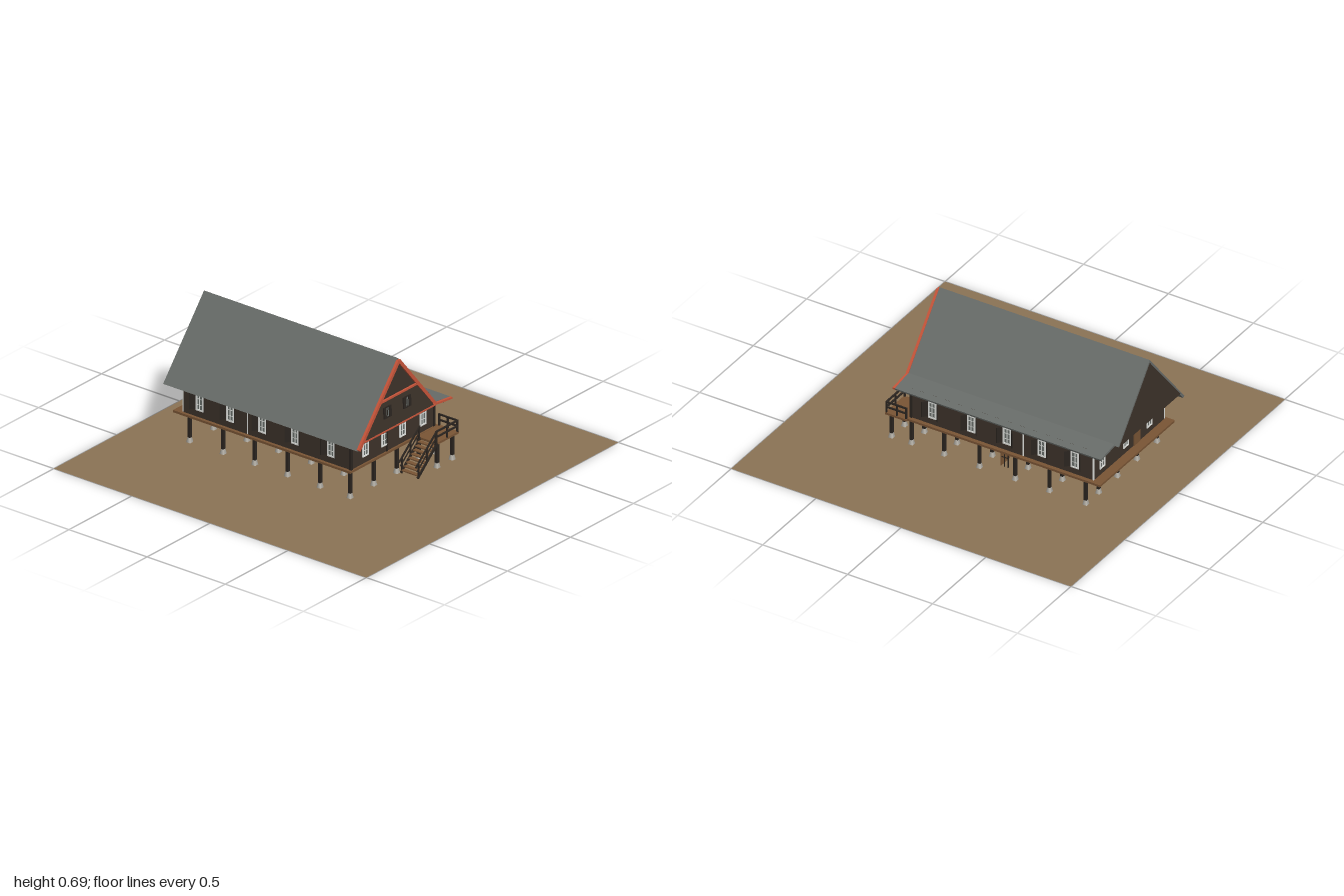
import * as THREE from 'three';

const mat = (name, color) => Object.assign(new THREE.MeshStandardMaterial({ color }), { name });

export function createModel() {
  const M = {
    earth: mat('earth', 0x8b7355), roof: mat('roof slate', 0x696d6a), wall: mat('log wall', 0x3d332a),
    dark: mat('dark timber', 0x2b2520), trim: mat('orange trim', 0xc8553a), deck: mat('deck wood', 0x7a5535),
    white: mat('white frame', 0xe6e8e4), glass: mat('glass', 0x6a706c), stone: mat('footing stone', 0xb9b5ac),
  };
  M.earth.side = THREE.DoubleSide;
  const model = new THREE.Group();
  const add = (parent, name, geo, m) => {
    const mesh = new THREE.Mesh(geo, m);
    mesh.name = name;
    parent.add(mesh);
    return mesh;
  };
  // Box from minimum and maximum corners
  const box = (parent, name, m, x0, x1, y0, y1, z0, z1) => {
    const b = add(parent, name, new THREE.BoxGeometry(x1 - x0, y1 - y0, z1 - z0), m);
    b.position.set((x0 + x1) / 2, (y0 + y1) / 2, (z0 + z1) / 2);
    return b;
  };
  // Outline in x, y extruded from z0 to z1
  const prism = (parent, name, m, pts, z0, z1) => {
    const shape = new THREE.Shape(pts.map(p => new THREE.Vector2(...p)));
    const geo = new THREE.ExtrudeGeometry(shape, { depth: z1 - z0, bevelEnabled: false });
    return add(parent, name, geo.translate(0, 0, z0), m);
  };
  // Straight beam between two points in x, y at one z
  const beam = (parent, name, m, a, b, z, h, d) => {
    const dx = b[0] - a[0], dy = b[1] - a[1];
    const mesh = add(parent, name, new THREE.BoxGeometry(Math.hypot(dx, dy), h, d), m);
    mesh.position.set((a[0] + b[0]) / 2, (a[1] + b[1]) / 2, z);
    mesh.rotation.z = Math.atan2(dy, dx);
  };

  // Ground
  add(model, 'ground', new THREE.PlaneGeometry(2, 2).rotateX(-Math.PI / 2), M.earth);

  // Stilts on tapered footings
  const stilts = new THREE.Group();
  stilts.name = 'stilts';
  model.add(stilts);
  const stilt = (x, z) => {
    box(stilts, 'post', M.dark, x - 0.008, x + 0.008, 0.025, 0.145, z - 0.008, z + 0.008);
    const foot = add(stilts, 'footing', new THREE.CylinderGeometry(0.011, 0.018, 0.028, 4, 1).rotateY(Math.PI / 4), M.stone);
    foot.position.set(x, 0.014, z);
  };
  for (const z of [0.36, 0.168, -0.04, -0.25, -0.452, -0.666])
    for (const x of [-0.335, -0.147, 0.035, 0.21, 0.33]) stilt(x, z);
  stilt(0.21, 0.477);
  stilt(0.33, 0.477);

  // Floor and walls
  box(model, 'floor', M.deck, -0.352, 0.347, 0.142, 0.154, -0.76, 0.375);
  box(model, 'walls', M.wall, -0.335, 0.325, 0.154, 0.328, -0.71, 0.365);
  box(model, 'frontPost', M.dark, -0.056, -0.046, 0.154, 0.328, 0.365, 0.371);
  for (const x of [-0.335, 0.325])
    for (const z of [-0.708, -0.295]) box(model, 'paleStrip', M.white, x - 0.003, x + 0.003, 0.156, 0.315, z - 0.003, z + 0.003);
  for (const x of [-0.333, 0.323])
    box(model, 'cornerPost', M.dark, x - 0.007, x + 0.007, 0.154, 0.325, 0.358, 0.371);

  // Windows: white frame and bars over glass, optional half-open shutters
  const windowAt = (x, z, turn, shutters) => {
    const g = new THREE.Group();
    g.name = 'window';
    g.position.set(x, 0.24, z);
    g.rotation.y = turn;
    model.add(g);
    box(g, 'glass', M.glass, -0.02, 0.02, -0.045, 0.045, 0, 0.002);
    for (const s of [-1, 1]) {
      box(g, 'frameSide', M.white, s * 0.02 - 0.004, s * 0.02 + 0.004, -0.049, 0.049, 0, 0.006);
      box(g, 'frameEnd', M.white, -0.024, 0.024, s * 0.045 - 0.004, s * 0.045 + 0.004, 0, 0.006);
      box(g, 'glazingBar', M.white, -0.02, 0.02, s * 0.016 - 0.001, s * 0.016 + 0.001, 0, 0.004);
      if (!shutters) continue;
      const sh = add(g, 'shutter', new THREE.BoxGeometry(0.034, 0.09, 0.005), M.dark);
      sh.position.set(s * 0.037, 0.002, 0.015);
      sh.rotation.y = -s * 0.9;
    }
    box(g, 'mullion', M.white, -0.002, 0.002, -0.045, 0.045, 0, 0.005);
  };
  for (const z of [0.24, 0.01, -0.2, -0.405, -0.6]) {
    windowAt(0.325, z, Math.PI / 2, true);
    windowAt(-0.335, z, -Math.PI / 2, true);
  }
  for (const x of [-0.222, -0.072, 0.072, 0.235]) windowAt(x, 0.365, 0, false);
  for (const x of [-0.19, 0.03, 0.25]) windowAt(x, -0.71, Math.PI, false);
  box(model, 'backDoor', M.deck, -0.1, -0.045, 0.156, 0.29, -0.716, -0.71);

  // Steep main roof and low side roof
  const ridge = [-0.055, 0.692], slope = 1.215;
  const leftX = y => ridge[0] - (ridge[1] - y) / slope;
  const rightX = y => ridge[0] + (ridge[1] - y) / slope;
  prism(model, 'mainRoof', M.roof, [[leftX(0.297), 0.297], [-0.366, 0.292], [-0.055, 0.67],
    [0.225, 0.33], [rightX(0.335), 0.335], ridge], -0.8, 0.438);
  prism(model, 'sideRoof', M.roof, [[0.2, 0.332], [0.362, 0.312], [0.365, 0.322], [0.21, 0.345]], -0.775, 0.438);
  box(model, 'atticFloor', M.dark, -0.335, 0.22, 0.325, 0.335, -0.795, 0.43);
  box(model, 'eaveBeam', M.dark, 0.315, 0.33, 0.305, 0.318, -0.76, 0.43);

  // Gables: flat at the back, flat top and flared skirt at the front
  const triangle = y => [[leftX(y) + 0.012, y], [rightX(y) - 0.012, y], [ridge[0], 0.675]];
  prism(model, 'backGable', M.wall, triangle(0.33), -0.801, -0.79);
  prism(model, 'frontGable', M.wall, triangle(0.335), 0.425, 0.441);
  const skirt = new THREE.Group();
  skirt.name = 'gableSkirt';
  skirt.position.set(0, 0.335, 0.452);
  skirt.rotation.x = -0.08;
  model.add(skirt);
  prism(skirt, 'skirtPanel', M.wall, [[-0.325, 0], [0.215, 0], [0.09, 0.165], [-0.2, 0.165]], -0.006, 0.003);
  for (const x of [-0.15, 0.005]) {
    box(skirt, 'atticGlass', M.glass, x - 0.012, x + 0.012, 0.072, 0.122, 0.003, 0.005);
    box(skirt, 'atticBar', M.dark, x - 0.002, x + 0.002, 0.07, 0.124, 0.003, 0.007);
    for (const s of [-1, 1]) {
      box(skirt, 'atticShutter', M.dark, x + s * 0.021 - 0.009, x + s * 0.021 + 0.009, 0.067, 0.127, 0.003, 0.01);
      box(skirt, 'atticFrame', M.dark, x - 0.014, x + 0.014, 0.097 + s * 0.028 - 0.003, 0.097 + s * 0.028 + 0.003, 0.003, 0.008);
    }
  }

  // Orange edge boards
  const board = (x0, y0, x1, y1, h) => beam(model, 'edgeBoard', M.trim, [x0, y0], [x1, y1], 0.444, h, 0.014);
  board(-0.372, 0.298, -0.055, 0.68, 0.018);
  board(0.235, 0.332, -0.055, 0.68, 0.018);
  board(0.2, 0.337, 0.364, 0.318, 0.01);
  board(-0.21, 0.499, 0.1, 0.499, 0.01);
  beam(model, 'edgeBoard', M.trim, [-0.335, 0.335], [0.225, 0.335], 0.45, 0.008, 0.016);

  // Entrance landing with railing
  box(model, 'landing', M.deck, 0.18, 0.355, 0.14, 0.152, 0.375, 0.5);
  const rail = new THREE.Group();
  rail.name = 'landingRailing';
  model.add(rail);
  for (const y of [0.183, 0.213]) {
    box(rail, 'frontRail', M.dark, 0.175, 0.352, y - 0.004, y + 0.004, 0.492, 0.5);
    box(rail, 'sideRail', M.dark, 0.344, 0.352, y - 0.004, y + 0.004, 0.375, 0.5);
  }
  for (const [x, z] of [[0.18, 0.496], [0.265, 0.496], [0.348, 0.496], [0.348, 0.435], [0.348, 0.38]])
    box(rail, 'railPost', M.dark, x - 0.004, x + 0.004, 0.15, 0.215, z - 0.004, z + 0.004);

  // Stairs running up along the front
  const stairs = new THREE.Group();
  stairs.name = 'stairs';
  model.add(stairs);
  for (const z of [0.392, 0.498]) {
    beam(stairs, 'stringer', M.dark, [0.03, 0.012], [0.185, 0.148], z, 0.014, 0.007);
    beam(stairs, 'handrail', M.dark, [0.015, 0.075], [0.18, 0.215], z, 0.008, 0.007);
    beam(stairs, 'midRail', M.dark, [0.025, 0.05], [0.18, 0.183], z, 0.005, 0.005);
    for (const t of [0.05, 0.5, 0.95]) {
      const x = 0.03 + 0.15 * t, y = 0.012 + 0.135 * t;
      box(stairs, 'stairPost', M.dark, x - 0.004, x + 0.004, y, y + 0.07, z - 0.003, z + 0.003);
    }
  }
  for (let i = 0; i < 8; i++) {
    const x = 0.042 + i * 0.018, y = 0.024 + i * 0.0158;
    box(stairs, 'tread', M.deck, x - 0.011, x + 0.011, y - 0.003, y + 0.003, 0.394, 0.496);
  }

  // Small panel on a light frame under the floor
  box(model, 'underfloorPanel', M.deck, 0.25, 0.33, 0.055, 0.142, -0.168, -0.163);
  for (const z of [-0.187, -0.208]) box(model, 'panelLeg', M.dark, 0.326, 0.33, 0.055, 0.142, z - 0.002, z + 0.002);
  box(model, 'panelRail', M.dark, 0.326, 0.33, 0.107, 0.111, -0.21, -0.165);

  return model;
}
